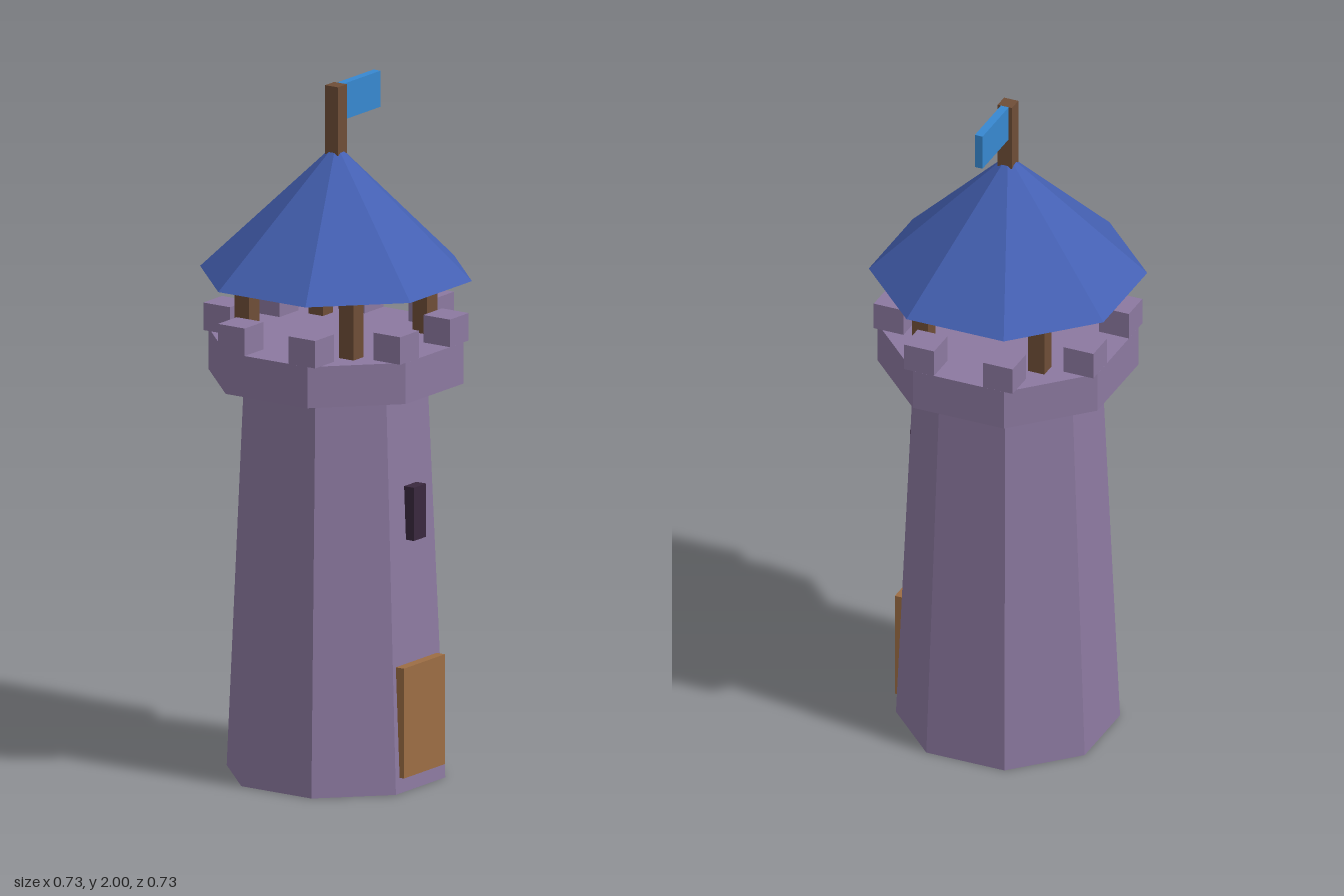
import * as THREE from 'three';

const material = (name, color, side = THREE.FrontSide) => {
  const m = new THREE.MeshStandardMaterial({ color, flatShading: true, side });
  m.name = name;
  return m;
};

export function createModel() {
  const group = new THREE.Group();
  const stone = material('stone', 0x8c79a0, THREE.DoubleSide);
  const roofBlue = material('roofBlue', 0x4460b2);
  const flagBlue = material('flagBlue', 0x3788d0);
  const timber = material('timber', 0x6f4e37);
  const doorWood = material('doorWood', 0x9c6d44);
  const dark = material('windowDark', 0x3a283e);

  const add = (name, geometry, mat, x, y, z) => {
    const mesh = new THREE.Mesh(geometry, mat);
    mesh.name = name;
    mesh.position.set(x, y, z);
    group.add(mesh);
  };
  const box = (name, mat, w, h, d, x, y, z) =>
    add(name, new THREE.BoxGeometry(w, h, d), mat, x, y, z);
  // Eight-sided prism measured across its flats, with a flat facing the front
  const octagon = (name, mat, top, bottom, y0, y1, open = false) => {
    const c = Math.cos(Math.PI / 8);
    const g = new THREE.CylinderGeometry(top / c, bottom / c, y1 - y0, 8, 1, open);
    add(name, g.rotateY(Math.PI / 8), mat, 0, (y0 + y1) / 2, 0);
  };

  // Hollow tapered shaft, parapet and pointed roof
  octagon('towerShaft', stone, 0.245, 0.292, 0, 1.15, true);
  octagon('parapet', stone, 0.34, 0.34, 1.15, 1.27);
  octagon('roof', roofBlue, 0, 0.363, 1.45, 1.83);

  // Battlements over the parapet corners
  for (let i = 0; i < 8; i++) {
    const a = (i + 0.5) * Math.PI / 4;
    box('merlon', stone, 0.092, 0.08, 0.092,
      0.318 * Math.sin(a), 1.31, 0.318 * Math.cos(a));
  }

  // Posts carrying the roof
  for (const x of [-0.18, 0.18]) {
    for (const z of [-0.18, 0.18]) box('roofPost', timber, 0.05, 0.18, 0.05, x, 1.36, z);
  }

  // Door and window set through the front wall
  box('door', doorWood, 0.2, 0.32, 0.05, 0, 0.205, 0.28);
  box('window', dark, 0.06, 0.155, 0.05, 0, 0.7975, 0.265);

  // Flagpole and flag
  box('flagpole', timber, 0.044, 0.2, 0.044, 0, 1.9, 0);
  box('flag', flagBlue, 0.18, 0.105, 0.024, 0.111, 1.9475, 0);

  return group;
}
